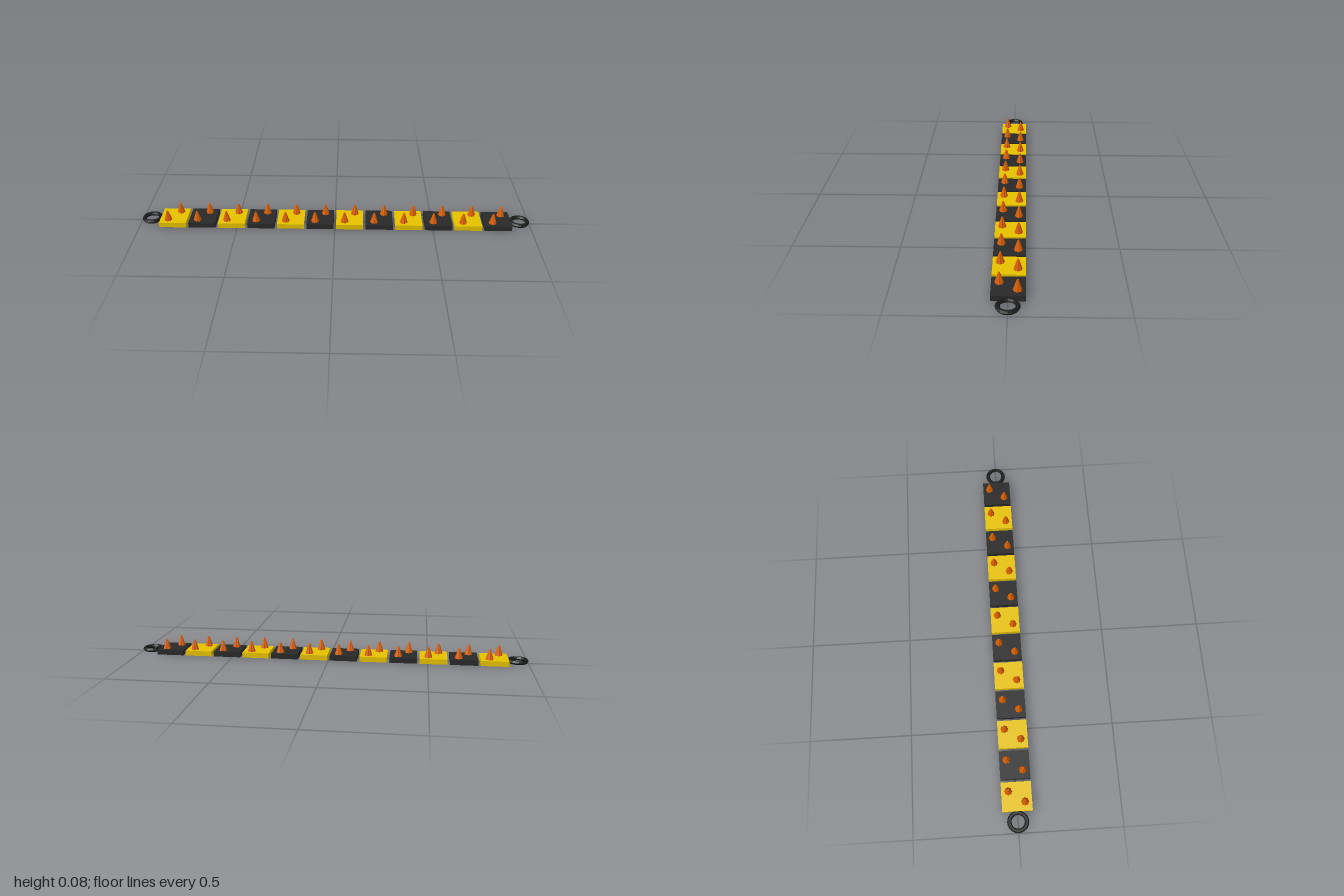
import * as THREE from 'three';

const COUNT = 12, PITCH = 0.151;
const TILE = { w: 0.138, h: 0.026, d: 0.146 };
const SPIKE_HEIGHT = 0.052;

// Blunt cone whose alternate edges are drawn inward to form flutes
function flutedSpike(ribs) {
  const geometry = new THREE.CylinderGeometry(0.004, 0.0205, SPIKE_HEIGHT, ribs * 2).toNonIndexed();
  const p = geometry.attributes.position;
  for (let i = 0; i < p.count; i++) {
    const x = p.getX(i), z = p.getZ(i);
    const step = Math.round(Math.atan2(x, z) * ribs / Math.PI);
    if (step % 2 !== 0) p.setXYZ(i, x * 0.82, p.getY(i), z * 0.82);
  }
  geometry.computeVertexNormals();
  return geometry;
}

export function createModel() {
  const group = new THREE.Group();
  group.name = 'spikeStrip';

  const paint = (name, color) => {
    const m = new THREE.MeshStandardMaterial({ color, flatShading: true });
    m.name = name;
    return m;
  };
  const yellow = paint('yellow', 0xe6c200);
  const black = paint('black', 0x282828);
  const orange = paint('orange', 0xdc6000);
  const iron = paint('darkIron', 0x1a1c1c);

  const add = (geometry, material, name, x, y, z) => {
    const mesh = new THREE.Mesh(geometry, material);
    mesh.name = name;
    mesh.position.set(x, y, z);
    group.add(mesh);
  };

  // Alternating plates, each with two diagonally placed fluted spikes
  const plate = new THREE.BoxGeometry(TILE.w, TILE.h, TILE.d);
  const spike = flutedSpike(8);
  for (let i = 0; i < COUNT; i++) {
    const x = (i - (COUNT - 1) / 2) * PITCH;
    add(plate, i % 2 ? black : yellow, 'plate', x, TILE.h / 2, 0);
    for (const s of [-1, 1]) {
      add(spike, orange, 'spike', x + s * 0.026, TILE.h + SPIKE_HEIGHT / 2, -s * 0.039);
    }
  }

  // Pull rings lying flat at both ends
  const ring = new THREE.TorusGeometry(0.042, 0.0104, 6, 20);
  ring.rotateX(Math.PI / 2);
  for (const s of [-1, 1]) add(ring, iron, 'pullRing', s * 0.9476, 0.013, 0);

  return group;
}
